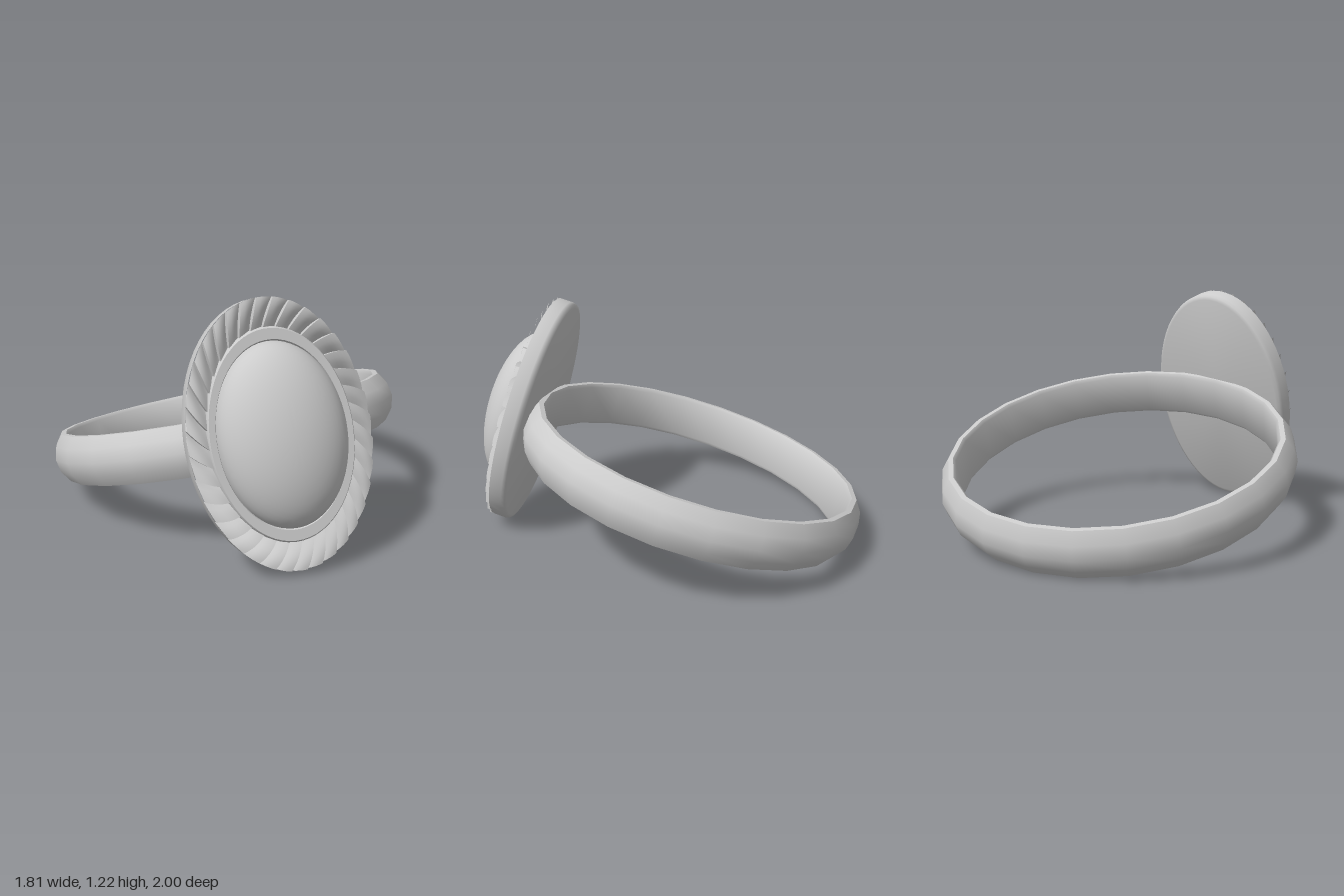
import * as THREE from 'three';
import { toCreasedNormals } from 'three/addons/utils/BufferGeometryUtils.js';

const material = new THREE.MeshStandardMaterial({ color: 0xcccccc });

function addMesh(parent, name, geometry, crease) {
  const mesh = new THREE.Mesh(toCreasedNormals(geometry, crease), material);
  mesh.name = name;
  parent.add(mesh);
}

// Skin of closed loops; point(row, column) returns [x, y, z], columns run counter-clockwise
function loft(rows, columns, point) {
  const positions = [], index = [];
  for (let r = 0; r < rows; r++)
    for (let c = 0; c < columns; c++) positions.push(...point(r, c));
  for (let r = 0; r < rows - 1; r++)
    for (let c = 0; c < columns; c++) {
      const n = (c + 1) % columns;
      const a = r * columns + c, b = r * columns + n;
      const d = a + columns, e = b + columns;
      index.push(a, b, e, a, e, d);
    }
  const geometry = new THREE.BufferGeometry();
  geometry.setAttribute('position', new THREE.Float32BufferAttribute(positions, 3));
  geometry.setIndex(index);
  return geometry;
}

const oval = (a, b, z, t) => [a * Math.cos(t), b * Math.sin(t), z];

// Loft through concentric ovals given as [halfWidth, halfHeight, z]
const ovalLoft = (sections, columns = 64) =>
  loft(sections.length, columns, (r, c) => oval(...sections[r], (c / columns) * Math.PI * 2));

// Slanted overlapping flutes around the oval rim
function flutedRim() {
  const flutes = 36, steps = [0, 0.15, 0.35, 0.65, 1], rows = 7, twist = 0.17;
  return loft(rows, flutes * steps.length, (r, c) => {
    const s = r / (rows - 1);
    const f = steps[c % steps.length];
    const t = ((Math.floor(c / steps.length) + f) / flutes) * Math.PI * 2 + twist * s;
    const height = 0.014 + 0.022 * Math.sin(Math.PI * (0.12 + 0.76 * s));
    const z = 0.927 + height * Math.sin((f * Math.PI) / 2);
    return oval(0.43 - 0.095 * s, 0.617 - 0.137 * s, z, t);
  });
}

export function createModel() {
  const model = new THREE.Group();
  model.name = 'ring';
  const ring = new THREE.Group();
  ring.name = 'tiltedRing';
  ring.position.set(0, 0.375, -0.124);
  ring.rotation.set(-0.276, 0, 0.115);
  model.add(ring);

  // Band: domed outside, flat inside with softened edges
  const profile = [
    [0.82, -0.105], [0.832, -0.122], [0.857, -0.122], [0.896, -0.066], [0.911, 0],
    [0.896, 0.066], [0.857, 0.122], [0.832, 0.122], [0.82, 0.105], [0.82, -0.105],
  ].map(([x, y]) => new THREE.Vector2(x, y));
  addMesh(ring, 'band', new THREE.LatheGeometry(profile, 24), 0.7);

  // Setting: oval plate, fluted rim and collar around the stone
  const head = new THREE.Group();
  head.name = 'head';
  ring.add(head);
  addMesh(head, 'backPlate', ovalLoft([
    [0, 0, 0.84], [0.405, 0.592, 0.84], [0.423, 0.61, 0.847],
    [0.43, 0.617, 0.865], [0.43, 0.617, 0.93],
  ]), 0.9);
  addMesh(head, 'flutedRim', flutedRim(), 0.6);
  addMesh(head, 'collar', ovalLoft([
    [0.342, 0.487, 0.925], [0.34, 0.484, 0.95], [0.334, 0.477, 0.959],
    [0.305, 0.427, 0.959], [0.298, 0.418, 0.94],
  ]), 0.6);

  // Stone: smooth oval cabochon
  const stone = Array.from({ length: 13 }, (_, i) => {
    const angle = (i / 12) * (Math.PI / 2);
    return [0.301 * Math.cos(angle), 0.421 * Math.cos(angle), 0.948 + 0.183 * Math.sin(angle)];
  });
  addMesh(head, 'cabochon', ovalLoft(stone), 1);

  return model;
}
